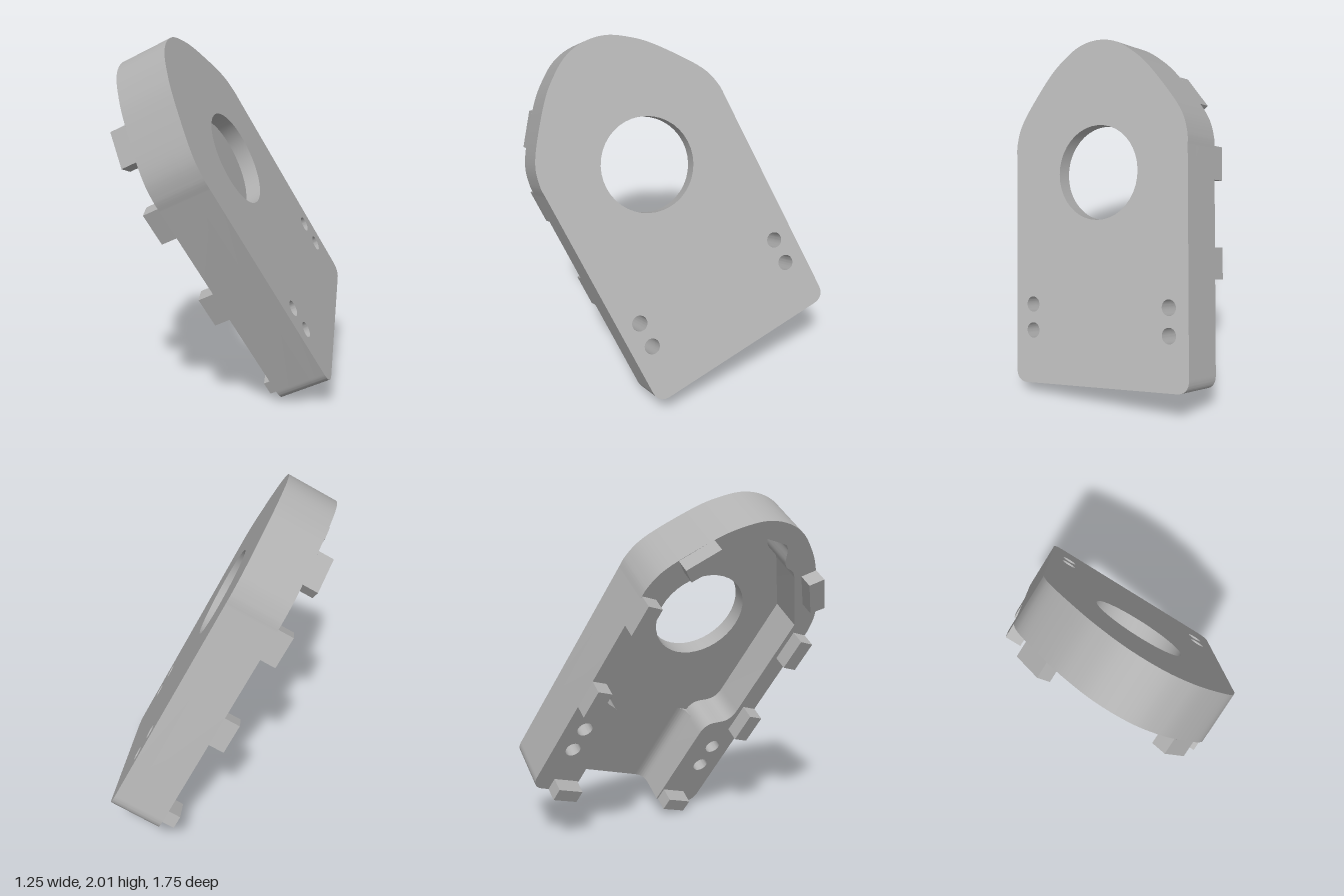
import * as THREE from 'three';
import { toCreasedNormals } from 'three/addons/utils/BufferGeometryUtils.js';

const HALF = 0.59;      // half width of the plate
const BOTTOM = -1.22;   // lower end of the plate
const LEG = 0.31;       // inner face of the lower legs
const INNER = 0.47;     // inner face of the upper wall
const FLOOR = 0.09;     // floor thickness
const RIM = 0.30;       // rim height
const TAB_TOP = 0.39;   // tab height

const vec = (x, y) => new THREE.Vector2(x, y);

// Right half of the rounded head, from the side up to the crown
const HEAD = [[0.588, 0.19], [0.56, 0.29], [0.49, 0.40], [0.35, 0.57], [0.25, 0.66], [0.13, 0.733]];

// Outer silhouette, from the right leg over the head to the left leg
function outline() {
  const s = new THREE.Shape();
  s.moveTo(LEG, BOTTOM);
  s.lineTo(HALF - 0.08, BOTTOM);
  s.quadraticCurveTo(HALF, BOTTOM, HALF, BOTTOM + 0.08);
  s.lineTo(HALF, 0.12);
  s.splineThru([
    ...HEAD.map(([x, y]) => vec(x, y)),
    vec(0, 0.757),
    ...HEAD.slice().reverse().map(([x, y]) => vec(-x, y)),
    vec(-HALF, 0.12),
  ]);
  s.lineTo(-HALF, BOTTOM + 0.08);
  s.quadraticCurveTo(-HALF, BOTTOM, -HALF + 0.08, BOTTOM);
  s.lineTo(-LEG, BOTTOM);
  return s;
}

function addHole(shape, x, y, r) {
  const hole = new THREE.Path();
  hole.absarc(x, y, r, 0, Math.PI * 2, true);
  shape.holes.push(hole);
}

function addScrewHoles(shape) {
  for (const x of [-0.467, 0.467])
    for (const y of [-0.757, -0.91]) addHole(shape, x, y, 0.045);
}

// Extrudes a shape between two heights, keeping hard edges sharp
function slab(shape, from, to) {
  const g = new THREE.ExtrudeGeometry(shape, { depth: to - from, bevelEnabled: false, curveSegments: 20 });
  g.translate(0, 0, from);
  return toCreasedNormals(g, 0.5);
}

export function createModel() {
  const metal = new THREE.MeshStandardMaterial({ color: 0xb0b0b0 });
  metal.name = 'grey metal';

  const body = new THREE.Group();
  body.name = 'housing';
  const add = (name, geometry) => {
    const mesh = new THREE.Mesh(geometry, metal);
    mesh.name = name;
    body.add(mesh);
  };

  // Flat plate with the large bore and the screw holes
  const plate = outline();
  addHole(plate, 0, 0, 0.27);
  addScrewHoles(plate);
  add('plate', slab(plate, 0, FLOOR));

  // Raised wall, open at the bottom, with thick legs and a notch at the crown
  const wall = outline();
  wall.lineTo(-LEG, -0.68);
  wall.bezierCurveTo(-LEG, -0.52, -INNER, -0.62, -INNER, -0.46);
  wall.lineTo(-INNER, 0.19);
  wall.lineTo(-0.26, 0.47);
  wall.quadraticCurveTo(-0.23, 0.51, -0.19, 0.51);
  wall.bezierCurveTo(-0.11, 0.52, -0.13, 0.64, -0.06, 0.64);
  wall.lineTo(0.06, 0.64);
  wall.bezierCurveTo(0.13, 0.64, 0.11, 0.52, 0.19, 0.51);
  wall.quadraticCurveTo(0.23, 0.51, 0.26, 0.47);
  wall.lineTo(INNER, 0.19);
  wall.lineTo(INNER, -0.46);
  wall.bezierCurveTo(INNER, -0.62, LEG, -0.52, LEG, -0.68);
  wall.closePath();
  addScrewHoles(wall);
  add('wall', slab(wall, FLOOR, RIM));

  // Tabs standing on the rim, and fillets along the legs, mirrored
  const tabs = [
    [[0.37, 0.55], [0.50, 0.385], [0.43, 0.33], [0.30, 0.49]],
    [[0.50, 0.14], [HALF, 0.14], [HALF, -0.05], [0.50, -0.05]],
    [[0.50, -0.43], [HALF, -0.43], [HALF, -0.61], [0.50, -0.61]],
    [[0.32, -1.14], [0.475, -1.14], [0.475, BOTTOM], [0.32, BOTTOM]],
  ];
  for (const side of [-1, 1]) {
    const label = side > 0 ? 'left' : 'right';
    tabs.forEach((points, i) => {
      const shape = new THREE.Shape(points.map(([x, y]) => vec(side * x, y)));
      add(`${label}Tab${i + 1}`, slab(shape, RIM, TAB_TOP));
    });

    const fillet = new THREE.Shape();
    fillet.moveTo(side * LEG, FLOOR);
    fillet.lineTo(side * (LEG - 0.07), FLOOR);
    fillet.quadraticCurveTo(side * LEG, FLOOR, side * LEG, FLOOR + 0.07);
    fillet.closePath();
    const g = slab(fillet, 0, 0.56);
    g.rotateX(Math.PI / 2);               // run along the leg
    g.translate(0, BOTTOM + 0.56, 0);
    add(`${label}Fillet`, g);
  }

  // Lean the housing into its resting pose
  const up = new THREE.Vector3(-0.196, 0.852, 0.486).normalize();
  const across = new THREE.Vector3(0.587, -0.30, 0.752);
  across.addScaledVector(up, -across.dot(up)).normalize();
  const out = new THREE.Vector3().crossVectors(across, up);
  body.quaternion.setFromRotationMatrix(new THREE.Matrix4().makeBasis(across, up, out));
  body.position.set(0.04, 1.352, 0.134);

  const model = new THREE.Group();
  model.name = 'tiltedHousing';
  model.add(body);
  return model;
}
